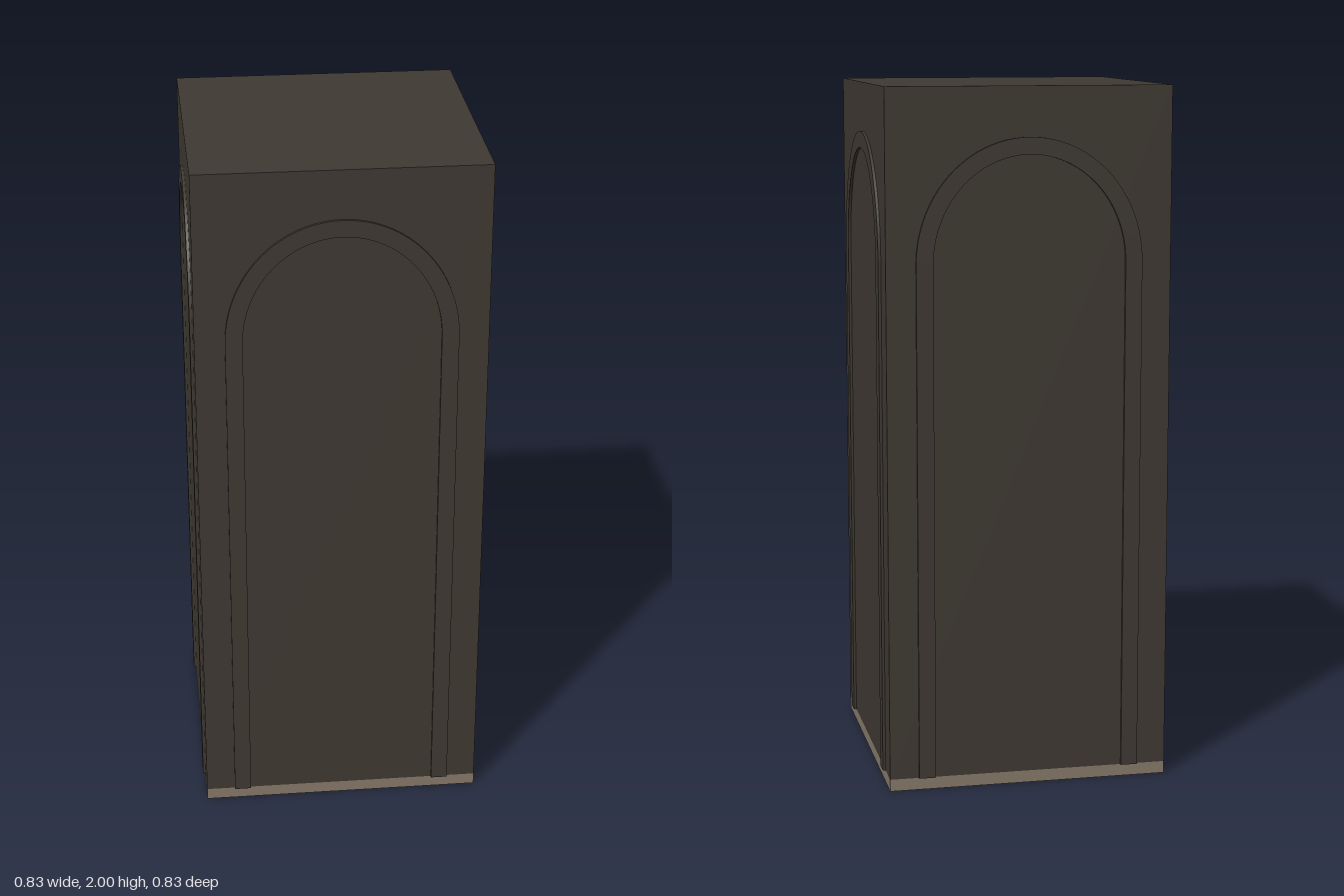
import * as THREE from 'three';

const HALF = 0.406;    // half width of the square pillar
const BASE = 0.035;    // height of the pale bottom slab
const SPRING = 1.51;   // height where the arches begin to curve
const RELIEF = 0.008;  // how far the arch mouldings stand out

// Flat arch band, open at the foot
function archShape() {
  const outerW = 0.322, outerH = 0.35, band = 0.048;
  const shape = new THREE.Shape();
  shape.moveTo(outerW, BASE);
  shape.lineTo(outerW, SPRING);
  shape.absellipse(0, SPRING, outerW, outerH, 0, Math.PI, false, 0);
  shape.lineTo(-outerW, BASE);
  shape.lineTo(-outerW + band, BASE);
  shape.lineTo(-outerW + band, SPRING);
  shape.absellipse(0, SPRING, outerW - band, outerH - band, Math.PI, 0, true, 0);
  shape.lineTo(outerW - band, BASE);
  shape.closePath();
  return shape;
}

export function createModel() {
  const stone = new THREE.MeshStandardMaterial({ color: 0x3f3932 });
  stone.name = 'dark stone';
  const trim = new THREE.MeshStandardMaterial({ color: 0x867969 });
  trim.name = 'pale trim';

  const model = new THREE.Group();
  model.name = 'archedPillar';

  // Main block
  const body = new THREE.Mesh(new THREE.BoxGeometry(HALF * 2, 2 - BASE, HALF * 2), stone);
  body.name = 'pillarBody';
  body.position.y = (2 + BASE) / 2;
  model.add(body);

  // Pale slab under the block
  const base = new THREE.Mesh(new THREE.BoxGeometry(HALF * 2, BASE, HALF * 2), trim);
  base.name = 'baseSlab';
  base.position.y = BASE / 2;
  model.add(base);

  // One raised arch moulding on each of the four sides
  const arch = new THREE.ExtrudeGeometry(archShape(), {
    depth: RELIEF, bevelEnabled: false, curveSegments: 32,
  });
  arch.translate(0, 0, HALF);
  ['front', 'left', 'back', 'right'].forEach((side, i) => {
    const mesh = new THREE.Mesh(arch, stone);
    mesh.name = side + 'ArchMoulding';
    mesh.rotation.y = i * Math.PI / 2;
    model.add(mesh);
  });

  return model;
}
